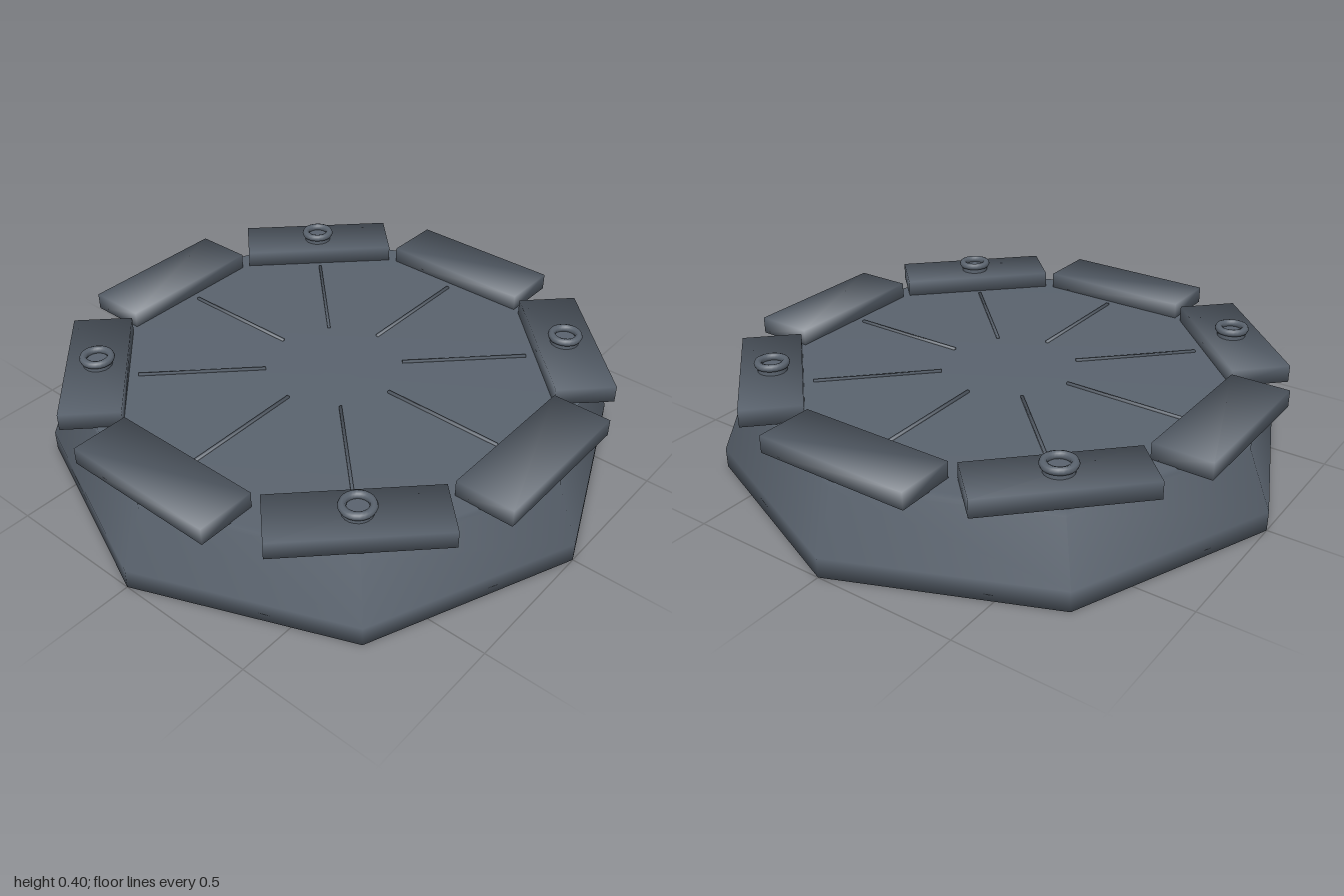
import * as THREE from 'three';

const steel = new THREE.MeshStandardMaterial({ color: 0x5a636e });
steel.name = 'blue grey steel';

function part(name, geometry, parent) {
  const mesh = new THREE.Mesh(geometry, steel);
  mesh.name = name;
  parent.add(mesh);
  return mesh;
}

// Box whose normals lean out at every corner, for soft shading
function softBox(w, h, d) {
  const g = new THREE.BoxGeometry(w, h, d);
  const p = g.attributes.position, n = g.attributes.normal;
  const v = new THREE.Vector3();
  for (let i = 0; i < p.count; i++) {
    v.set(Math.sign(p.getX(i)), Math.sign(p.getY(i)), Math.sign(p.getZ(i))).normalize();
    n.setXYZ(i, v.x, v.y, v.z);
  }
  return g;
}

export function createModel() {
  const model = new THREE.Group();
  model.name = 'octagonalPlatform';

  // Eight-sided base with sloping walls
  const profile = [[0, 0], [1, 0], [1, 0.07], [0.917, 0.27], [0.917, 0.303], [0, 0.303]]
    .map(([r, y]) => new THREE.Vector2(r, y));
  part('base', new THREE.LatheGeometry(profile, 8), model);

  const blockGeometry = softBox(0.56, 0.06, 0.207);
  const spokeGeometry = softBox(0.01, 0.01, 0.44);
  const stemGeometry = new THREE.CylinderGeometry(0.05, 0.05, 0.02, 20);
  const ringGeometry = new THREE.TorusGeometry(0.047, 0.0135, 8, 24).rotateX(Math.PI / 2);

  for (let i = 0; i < 8; i++) {
    const sector = new THREE.Group();
    sector.name = 'sector' + (i + 1);
    sector.rotation.y = i * Math.PI / 4;
    model.add(sector);

    // Rim block and thin raised floor line
    part('rimBlock', blockGeometry, sector).position.set(0, 0.33, 0.817);
    part('floorSpoke', spokeGeometry, sector).position.set(0, 0.305, 0.46);

    // Ring fittings on the diagonal blocks
    if (i % 2) {
      part('fittingStem', stemGeometry, sector).position.set(0, 0.368, 0.812);
      part('fittingRing', ringGeometry, sector).position.set(0, 0.387, 0.812);
    }
  }
  return model;
}
